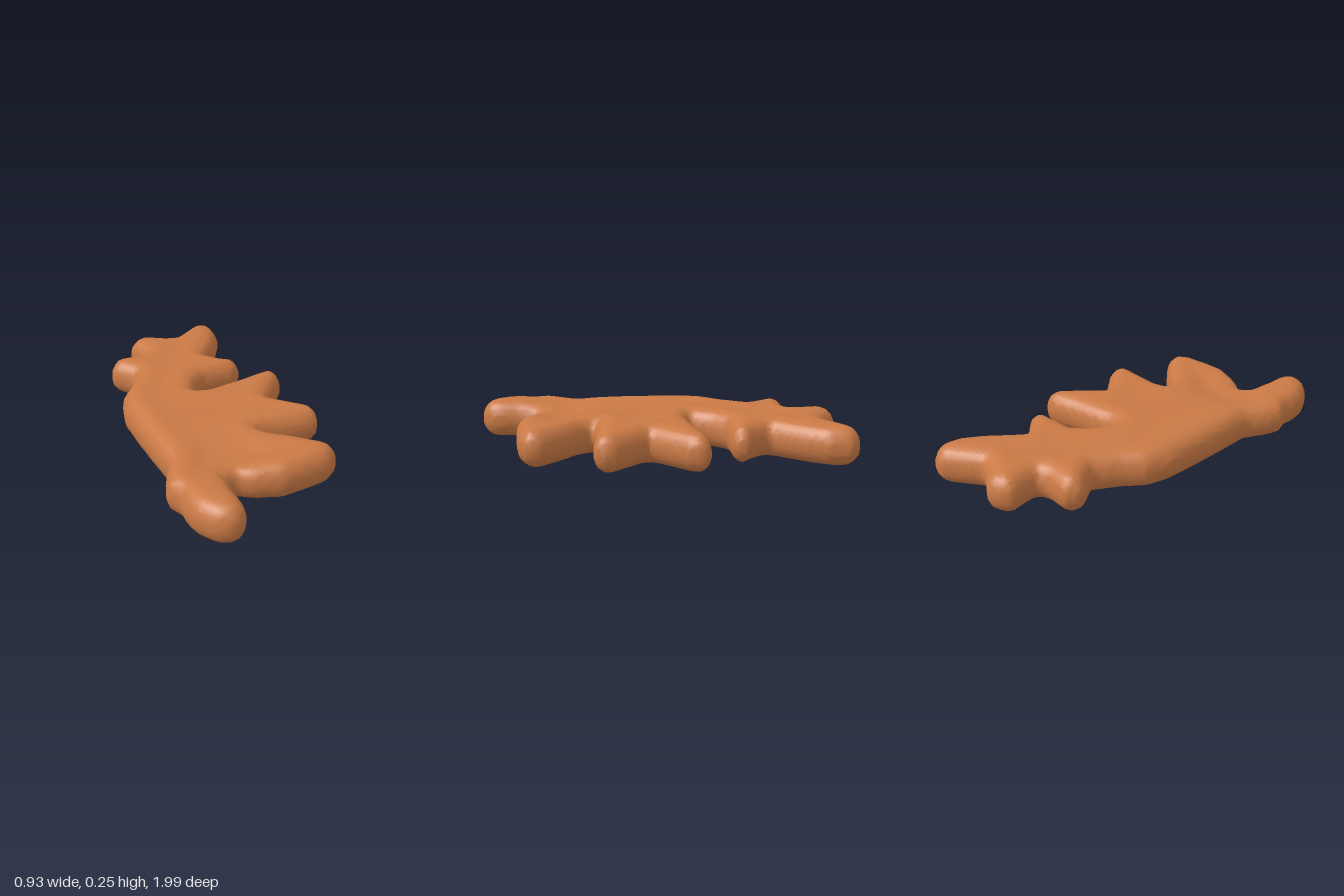
import * as THREE from 'three';

// Plan outline of the root seen from above: x, z pairs in hundredths of a unit
const OUTLINE = [
  18, -100, 24, -100, 29, -95, 29, -84, 24, -73, 13, -56, 20, -49, 27, -45, 27, -40, 23, -36,
  4, -33, -2, -26, -6, -16, 0, -15, 20, -21, 31, -25, 39, -27, 43.5, -23, 42.5, -16, 28, 4,
  37, 12, 45, 19, 46.5, 25, 44, 30, 38, 31, 17, 32, 12, 34, 15, 38, 24, 44, 38, 56,
  39.5, 63, 33, 69, 21, 72, 8, 74.5, -6, 71, -13, 67, -17, 70, -18, 79, -17, 89, -18, 95,
  -22, 99, -26, 100, -32, 98, -36, 94, -40, 88, -42, 80, -42, 74, -46, 66, -44, 58, -40, 47,
  -42, 34, -45, 11, -47, -10, -45, -23, -38, -34, -33, -46, -37, -51, -43, -58, -42, -62, -39, -67,
  -26, -68, -22, -70, -23, -75, -26, -85, -22, -90, -15, -93, -3, -87, 2, -86, 12, -95,
].map((v) => v / 100);
const COUNT = OUTLINE.length / 2;

// Distance from a plan point to the outline, positive inside
function insideDistance(x, z) {
  let best = Infinity, inside = false;
  for (let i = 0, j = COUNT - 1; i < COUNT; j = i++) {
    const ax = OUTLINE[j * 2], az = OUTLINE[j * 2 + 1];
    const bx = OUTLINE[i * 2], bz = OUTLINE[i * 2 + 1];
    const ex = bx - ax, ez = bz - az;
    const t = THREE.MathUtils.clamp(((x - ax) * ex + (z - az) * ez) / (ex * ex + ez * ez), 0, 1);
    best = Math.min(best, Math.hypot(x - ax - t * ex, z - az - t * ez));
    if (az > z !== bz > z && x < ax + ((z - az) / ez) * ex) inside = !inside;
  }
  return inside ? best : -best;
}

// Rounded cross-section: the body swells lower underneath, and sags
// as a whole where the front finger leaves it
const MIDDLE = 0.145, ROUNDING = 0.095, POWER = 2.2;
const { smoothstep } = THREE.MathUtils;
function field(d, x, y, z) {
  const q = Math.max(0, 1 - d / ROUNDING);
  const sag = Math.exp(-(((x + 0.12) / 0.22) ** 2) - ((z - 0.56) / 0.15) ** 2);
  const ends = 1 - smoothstep(Math.abs(z), 0.6, 0.85);
  const top = 0.11 - 0.008 * smoothstep(d, 0.1, 0.2) - 0.035 * sag;
  const bottom = 0.099 + (0.028 + 0.014 * sag) * smoothstep(d, 0.04, 0.2) * ends;
  const v = Math.abs(y - MIDDLE) / (y > MIDDLE ? top : bottom);
  return q ** POWER + v ** POWER - 1;
}

// Smooth skin around the negative part of the field, one vertex per crossed cell
function skinGeometry() {
  const step = 0.022, origin = [-0.55, -0.05, -1.08], size = [51, 17, 99];
  const at = (i, j, k) => (k * size[1] + j) * size[0] + i;
  const stride = [1, size[0], size[0] * size[1]];
  const values = new Float32Array(size[0] * size[1] * size[2]);
  for (let k = 0; k < size[2]; k++) for (let i = 0; i < size[0]; i++) {
    const x = origin[0] + i * step, z = origin[2] + k * step;
    const d = insideDistance(x, z);
    for (let j = 0; j < size[1]; j++) values[at(i, j, k)] = field(d, x, origin[1] + j * step, z);
  }

  // Vertices: average of the crossings on the twelve edges of each cell
  const positions = [], index = [], vertexOf = new Int32Array(values.length).fill(-1);
  for (let k = 0; k < size[2] - 1; k++)
    for (let j = 0; j < size[1] - 1; j++)
      for (let i = 0; i < size[0] - 1; i++) {
        const sum = [0, 0, 0];
        let hits = 0;
        for (let c = 0; c < 8; c++) for (let a = 0; a < 3; a++) {
          if (c & (1 << a)) continue;
          const o = [c & 1, (c >> 1) & 1, (c >> 2) & 1];
          const p = at(i + o[0], j + o[1], k + o[2]);
          const f0 = values[p], f1 = values[p + stride[a]];
          if (f0 < 0 === f1 < 0) continue;
          o[a] += f0 / (f0 - f1);
          o.forEach((v, n) => { sum[n] += v; });
          hits++;
        }
        if (!hits) continue;
        vertexOf[at(i, j, k)] = positions.length / 3;
        [i, j, k].forEach((v, n) => positions.push(origin[n] + (v + sum[n] / hits) * step));
      }

  // Faces: one quad around each crossed grid edge
  for (let k = 1; k < size[2] - 1; k++)
    for (let j = 1; j < size[1] - 1; j++)
      for (let i = 1; i < size[0] - 1; i++) {
        const p = at(i, j, k);
        for (let a = 0; a < 3; a++) {
          const inside = values[p] < 0;
          if (inside === values[p + stride[a]] < 0) continue;
          const b = stride[(a + 1) % 3], c = stride[(a + 2) % 3];
          const quad = [p, p - b, p - b - c, p - c].map((n) => vertexOf[n]);
          if (!inside) quad.reverse();
          index.push(quad[0], quad[1], quad[2], quad[0], quad[2], quad[3]);
        }
      }

  const geometry = new THREE.BufferGeometry();
  geometry.setAttribute('position', new THREE.Float32BufferAttribute(positions, 3));
  geometry.setIndex(index);
  geometry.computeBoundingBox();
  geometry.translate(0, -geometry.boundingBox.min.y, 0);
  geometry.computeVertexNormals();
  return geometry;
}

export function createModel() {
  const group = new THREE.Group();
  group.name = 'gingerRoot';
  const skin = new THREE.MeshStandardMaterial({ color: 0xc97945 });
  skin.name = 'rootSkin';
  const root = new THREE.Mesh(skinGeometry(), skin);
  root.name = 'rootBodyWithFingers';
  group.add(root);
  return group;
}
